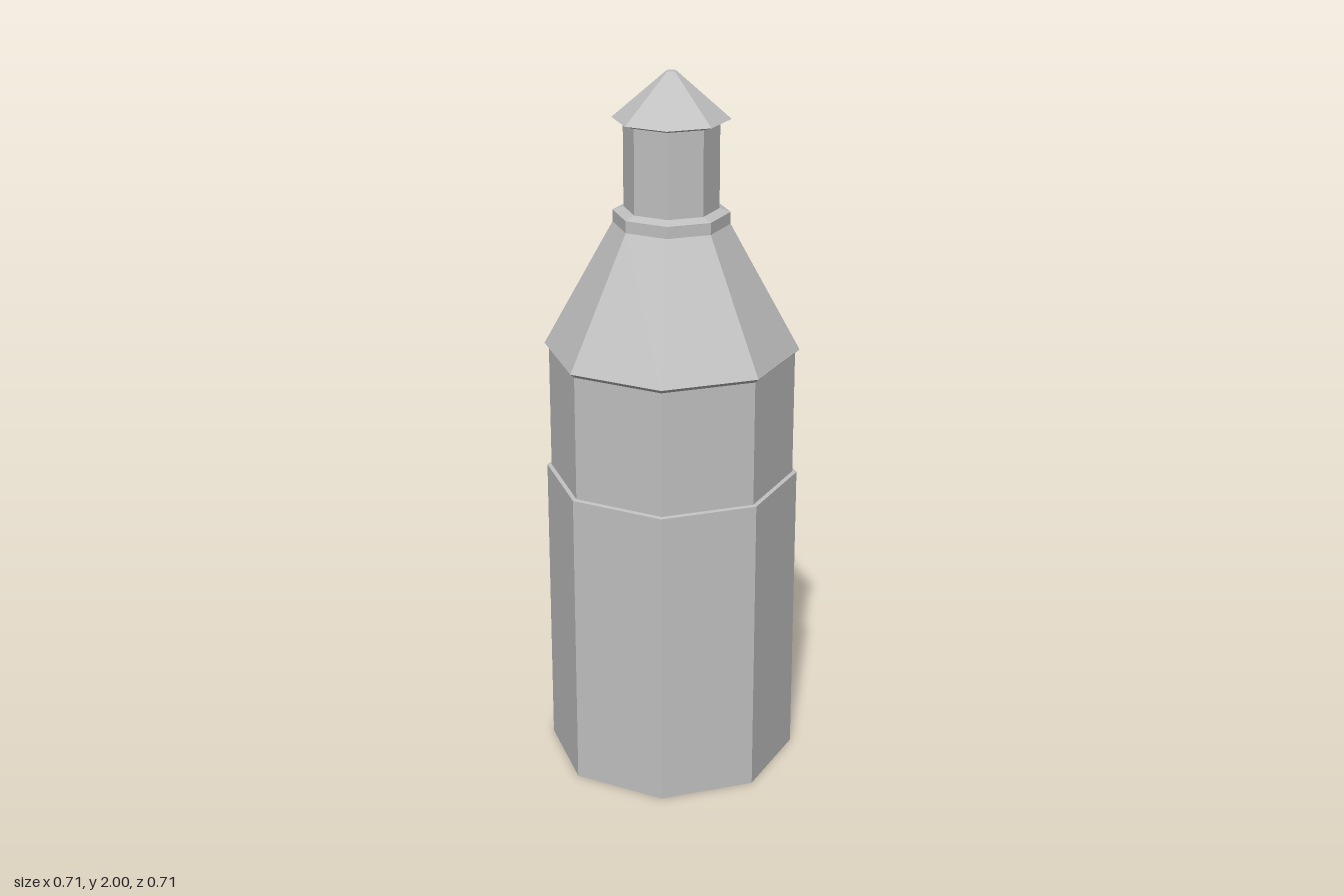
import * as THREE from 'three';

const stone = new THREE.MeshStandardMaterial({ color: 0xc0c0c0, flatShading: true });
stone.name = 'grey stone';

// Eight-sided part turned from a [radius, height] profile, listed bottom to top
function octagonal(name, profile) {
  const points = profile.map(([r, y]) => new THREE.Vector2(r, y));
  const geometry = new THREE.LatheGeometry(points, 8).toNonIndexed();
  geometry.computeVertexNormals();
  const mesh = new THREE.Mesh(geometry, stone);
  mesh.name = name;
  return mesh;
}

export function createModel() {
  const tower = new THREE.Group();
  tower.name = 'tower';
  tower.add(
    // closed base with a narrow ledge on top
    octagonal('base', [[0, 0], [0.354, 0], [0.354, 0.866], [0.342, 0.868]]),
    octagonal('upperWall', [[0.342, 0.868], [0.342, 1.222]]),
    // sloping roof with a slim overhanging eave
    octagonal('mainRoof', [[0.342, 1.222], [0.354, 1.233], [0.16, 1.587]]),
    octagonal('collar', [[0.16, 1.587], [0.16, 1.62], [0.13, 1.63]]),
    octagonal('lantern', [[0.13, 1.63], [0.13, 1.864]]),
    // pointed cap with a tiny flat tip
    octagonal('lanternCap', [[0.13, 1.864], [0.16, 1.874], [0.014, 2], [0, 2]])
  );
  return tower;
}
